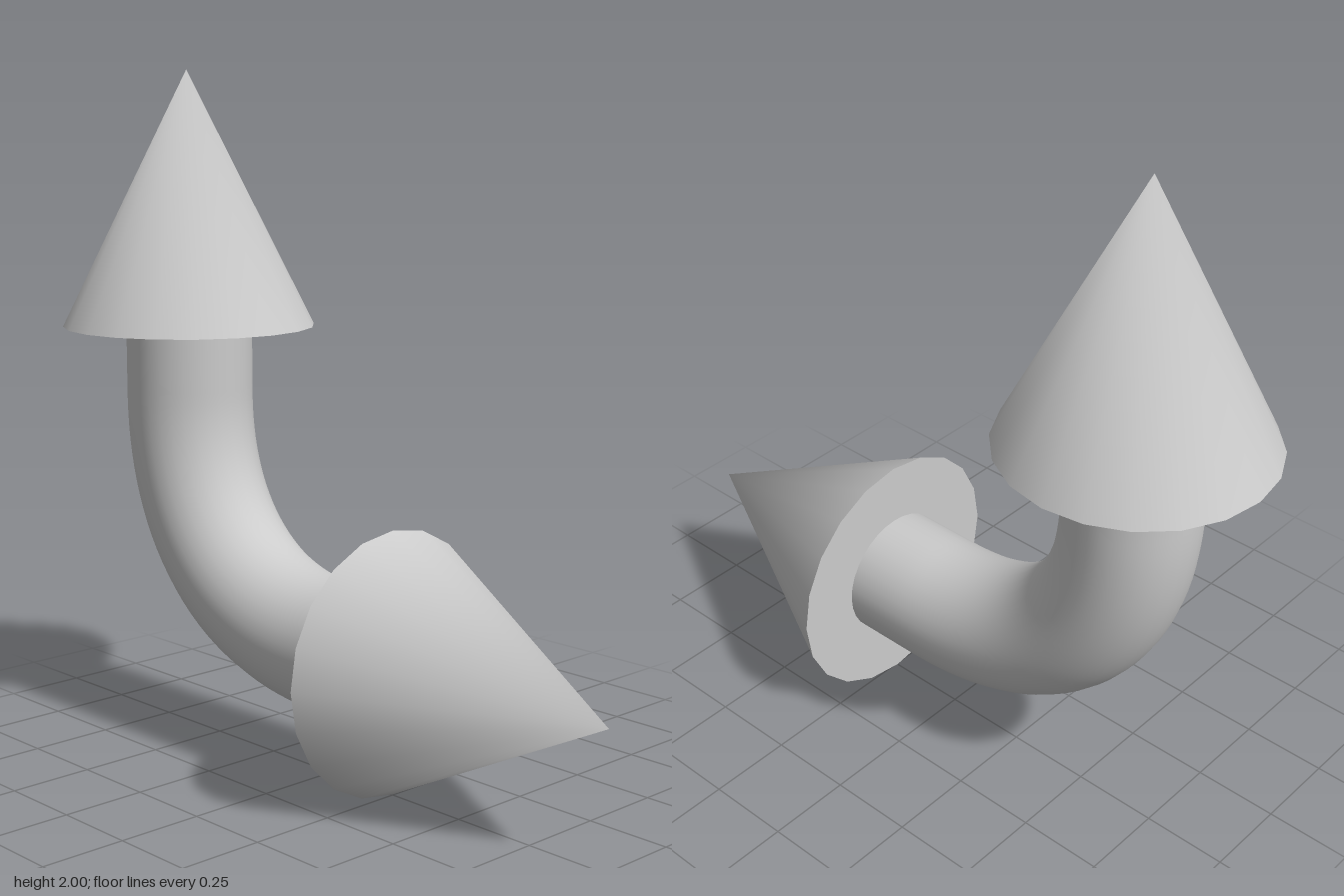
import * as THREE from 'three';

const material = new THREE.MeshStandardMaterial({ color: 0xcccccc });
const HEAD_R = 0.377, HEAD_H = 0.755, SHAFT_R = 0.189;
const CORNER_X = -0.623, CORNER_Y = 0.377, BEND = 0.67, HANDLE = 0.41;

// Cone whose shading blends into a single normal along its axis at the tip
function arrowHead(name) {
  const geometry = new THREE.ConeGeometry(HEAD_R, HEAD_H, 20);
  const { position, normal } = geometry.attributes;
  for (let i = 0; i < position.count; i++) {
    if (position.getY(i) > HEAD_H / 2 - 1e-4) normal.setXYZ(i, 0, 1, 0);
  }
  const mesh = new THREE.Mesh(geometry, material);
  mesh.name = name;
  return mesh;
}

export function createModel() {
  const group = new THREE.Group();
  group.name = 'bentDoubleArrow';

  const upHead = arrowHead('upArrowHead');
  upHead.position.set(CORNER_X, 2 - HEAD_H / 2, 0);

  const sideHead = arrowHead('sideArrowHead');
  sideHead.rotation.z = -Math.PI / 2;
  sideHead.position.set(1 - HEAD_H / 2, CORNER_Y, 0);

  // Shaft: straight, rounded bend, straight
  const v = (x, y) => new THREE.Vector3(CORNER_X + x, CORNER_Y + y, 0);
  const upEnd = 2 - HEAD_H - CORNER_Y, sideEnd = 1 - HEAD_H - CORNER_X;
  const path = new THREE.CurvePath();
  path.add(new THREE.LineCurve3(v(0, upEnd), v(0, BEND)));
  path.add(new THREE.CubicBezierCurve3(v(0, BEND), v(0, BEND - HANDLE), v(BEND - HANDLE, 0), v(BEND, 0)));
  path.add(new THREE.LineCurve3(v(BEND, 0), v(sideEnd, 0)));
  const shaft = new THREE.Mesh(new THREE.TubeGeometry(path, 40, SHAFT_R, 32), material);
  shaft.name = 'bentShaft';

  group.add(upHead, sideHead, shaft);
  return group;
}
